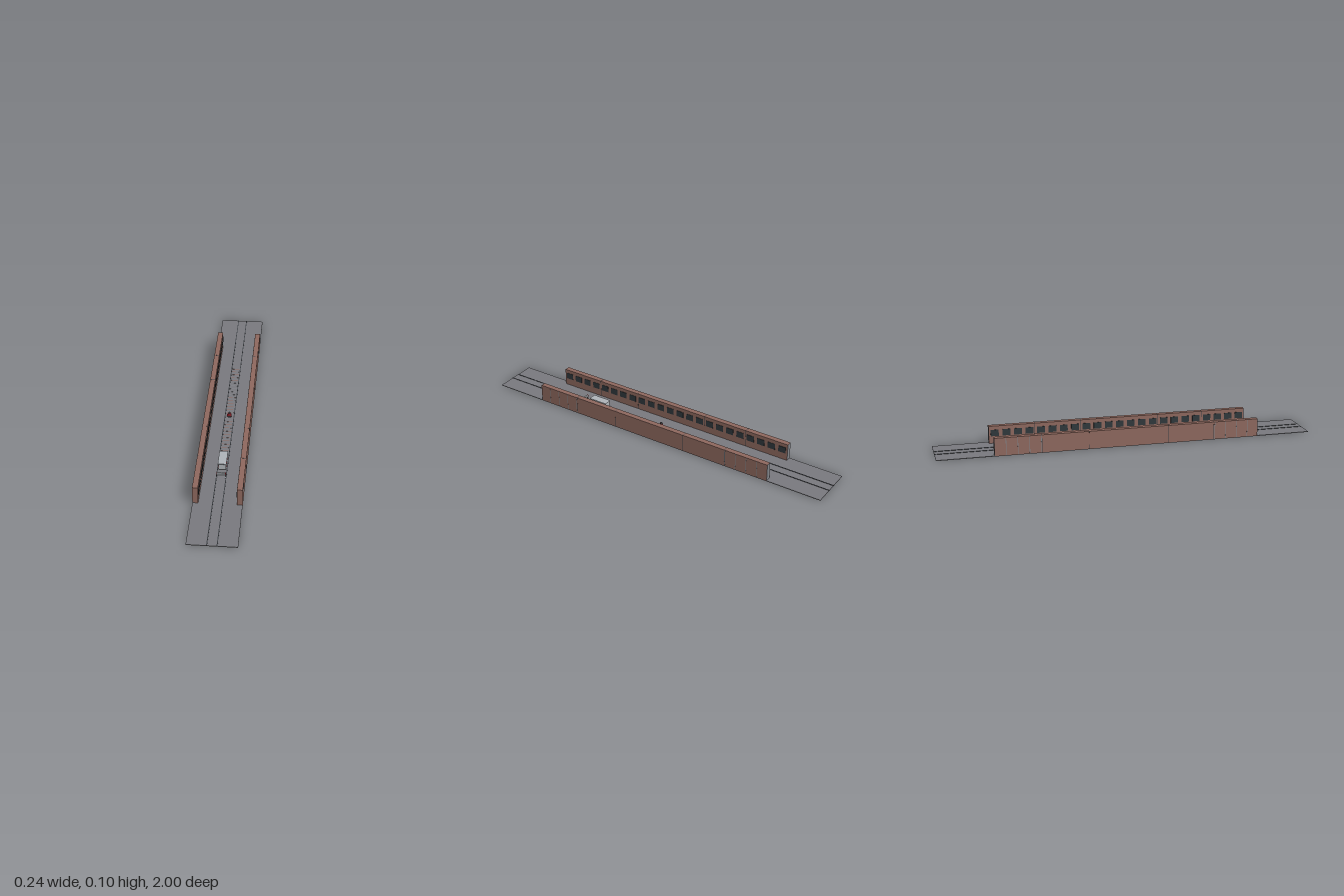
import * as THREE from 'three';

const mat = (name, color, extra = {}) => {
  const m = new THREE.MeshStandardMaterial({ color, ...extra });
  m.name = name;
  return m;
};

export function createModel() {
  const M = {
    asphalt: mat('asphalt', 0x7a7a7f),
    brick: mat('brick', 0x8f695f),
    glass: mat('dark glass', 0x30383c),
    metal: mat('light metal', 0xb0b5ba),
    concrete: mat('concrete', 0x82858a),
    rail: mat('rail steel', 0x3c4044),
    red: mat('red', 0xa82a32),
  };
  const root = new THREE.Group();
  const group = (name, parent = root) => {
    const g = new THREE.Group();
    g.name = name;
    parent.add(g);
    return g;
  };
  // box given by its minimum and maximum corners
  const box = (parent, name, m, x0, x1, y0, y1, z0, z1) => {
    const mesh = new THREE.Mesh(new THREE.BoxGeometry(x1 - x0, y1 - y0, z1 - z0), m);
    mesh.position.set((x0 + x1) / 2, (y0 + y1) / 2, (z0 + z1) / 2);
    mesh.name = name;
    parent.add(mesh);
    return mesh;
  };

  // road bed and rails
  box(root, 'ground', M.asphalt, -0.121, 0.121, 0, 0.003, -1, 1);
  const track = group('track');
  for (const x of [-0.024, 0.024]) {
    box(track, 'rail', M.rail, x - 0.002, x + 0.002, 0.003, 0.005, -1, 1);
  }
  // thin sleepers between the rails
  for (let z = -0.468; z < 0.31; z += 0.028) {
    if (Math.abs(z) < 0.02) continue;
    const cool = z > -0.33 && z < -0.2;
    box(track, 'sleeper', cool ? M.concrete : M.brick, -0.02, 0.02, 0.003, 0.0036, z - 0.0015, z + 0.0015);
  }

  // long station walls, mirrored on both sides
  const breaks = [-0.705, -0.462, -0.215, 0.21, 0.459, 0.705];
  const pitch = 1.41 / 23;
  for (const s of [-1, 1]) {
    const wall = group(s > 0 ? 'leftWall' : 'rightWall');
    const put = (name, m, xa, xb, y0, y1, z0, z1) =>
      box(wall, name, m, Math.min(s * xa, s * xb), Math.max(s * xa, s * xb), y0, y1, z0, z1);
    for (let i = 0; i < 5; i++) {
      put('wallSection', M.brick, 0.0935, 0.1215, 0.002, 0.096, breaks[i], breaks[i + 1]);
      // dark joint between sections
      if (i) put('joint', M.rail, 0.0933, 0.1217, 0.002, 0.0962, breaks[i] - 0.001, breaks[i] + 0.001);
    }
    put('rearEnd', M.concrete, 0.0935, 0.1215, 0.002, 0.096, -0.706, -0.705);
    // windows facing the track
    for (let i = 0; i < 23; i++) {
      const z = -0.705 + (i + 0.5) * pitch;
      put('window', M.glass, 0.0915, 0.094, 0.042, 0.076, z - 0.021, z + 0.021);
    }
    // pale seams on the outer face of the end sections
    for (const e of [-1, 1]) {
      for (let i = 1; i <= 4; i++) {
        const z = e * (0.707 - i * 0.0605);
        put('outerSeam', M.concrete, 0.1213, 0.1218, 0.003, 0.095, z - 0.0015, z + 0.0015);
      }
    }
  }

  // rail car
  const car = group('railCar');
  box(car, 'carBody', M.metal, -0.0185, 0.0185, 0.011, 0.041, 0.347, 0.45);
  box(car, 'carRoof', M.metal, -0.0215, 0.0215, 0.041, 0.046, 0.345, 0.452);
  box(car, 'roofTrim', M.rail, -0.015, 0.015, 0.0405, 0.043, 0.449, 0.4525);
  for (const s of [-1, 1]) {
    box(car, 'sideStripe', M.red, s * 0.019 - 0.001, s * 0.019 + 0.001, 0.017, 0.026, 0.35, 0.449);
    for (const z of [0.365, 0.43]) {
      const wheel = new THREE.Mesh(new THREE.CylinderGeometry(0.005, 0.005, 0.004, 12), M.rail);
      wheel.rotation.z = Math.PI / 2;
      wheel.position.set(s * 0.014, 0.009, z);
      wheel.name = 'wheel';
      car.add(wheel);
    }
  }

  // barrier ahead of the car
  const barrier = group('barrier');
  box(barrier, 'barrierBoard', M.metal, -0.02, 0.02, 0.019, 0.03, 0.496, 0.504);
  for (const s of [-1, 1]) {
    box(barrier, 'barrierEnd', M.red, s * 0.022 - 0.002, s * 0.022 + 0.002, 0.021, 0.031, 0.497, 0.503);
    box(barrier, 'barrierPost', M.rail, s * 0.022 - 0.0015, s * 0.022 + 0.0015, 0.003, 0.021, 0.498, 0.502);
    box(barrier, 'barrierFoot', M.metal, s * 0.022 - 0.002, s * 0.022 + 0.002, 0.003, 0.006, 0.49, 0.51);
  }

  // small figure on the track
  const figure = group('figure');
  box(figure, 'torso', M.red, -0.007, 0.007, 0.015, 0.028, -0.008, 0.003);
  const head = new THREE.Mesh(new THREE.SphereGeometry(0.006, 12, 8), M.rail);
  head.position.set(0, 0.032, -0.004);
  head.name = 'head';
  figure.add(head);
  for (const s of [-1, 1]) {
    box(figure, 'arm', M.red, s * 0.009 - 0.002, s * 0.009 + 0.002, 0.016, 0.027, -0.005, 0.009);
    box(figure, 'leg', M.rail, s * 0.0035 - 0.002, s * 0.0035 + 0.002, 0.003, 0.015, -0.006, 0);
  }
  return root;
}
